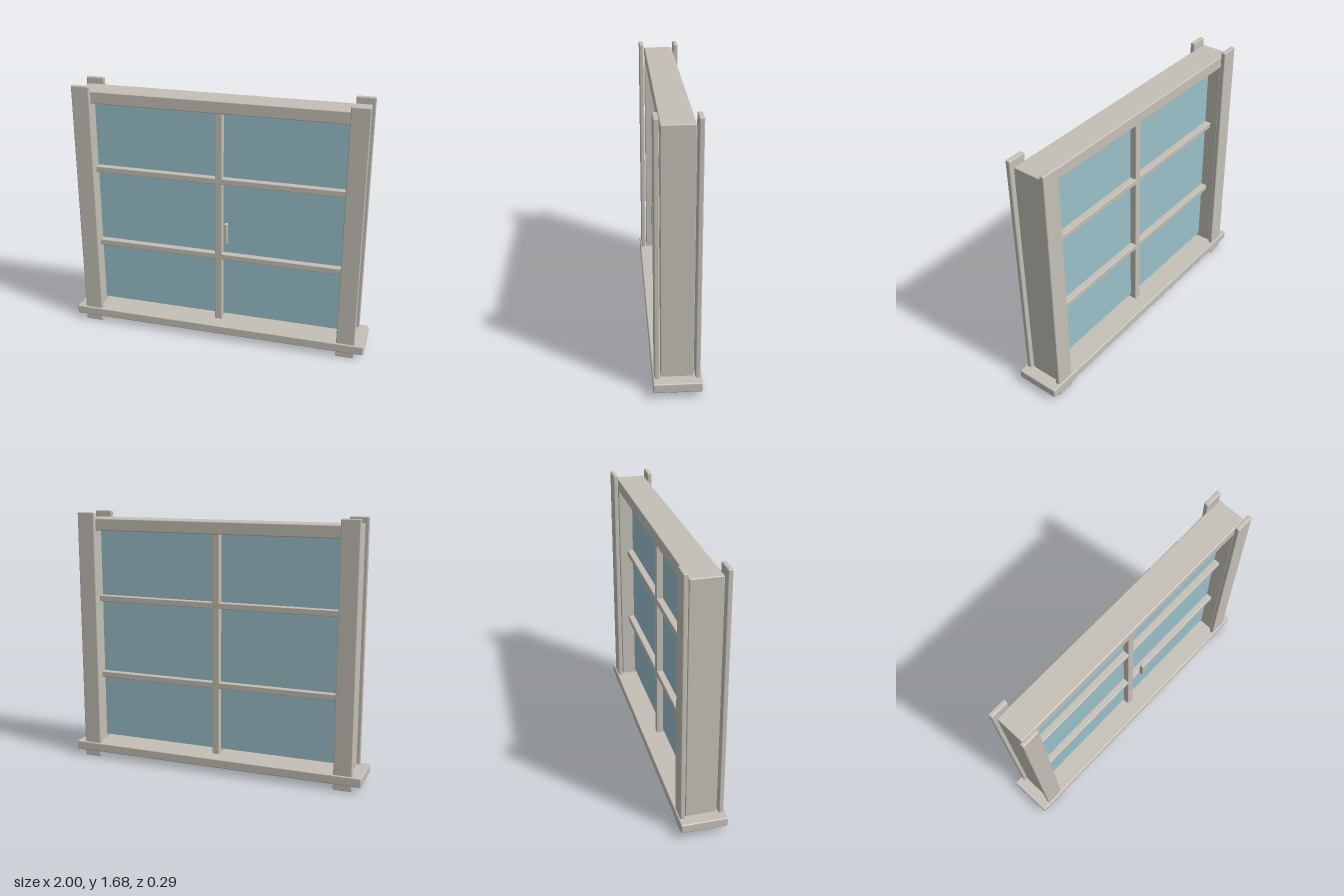
import * as THREE from 'three';
import { RoundedBoxGeometry } from 'three/addons/geometries/RoundedBoxGeometry.js';

export function createModel() {
  const group = new THREE.Group();
  group.name = 'window';
  const frame = new THREE.MeshStandardMaterial({ color: 0xc4c0b7 });
  frame.name = 'warm grey paint';
  const pane = new THREE.MeshStandardMaterial({ color: 0x9ac0ca });
  pane.name = 'blue glass';

  // Softly bevelled box between two corners
  function box(name, x0, x1, y0, y1, z0, z1, radius = 0.007, material = frame) {
    const size = [x1 - x0, y1 - y0, z1 - z0];
    const geometry = radius > 0
      ? new RoundedBoxGeometry(...size, 2, radius)
      : new THREE.BoxGeometry(...size);
    const mesh = new THREE.Mesh(geometry, material);
    mesh.position.set((x0 + x1) / 2, (y0 + y1) / 2, (z0 + z1) / 2);
    mesh.name = name;
    group.add(mesh);
  }

  // Sill and head rail
  box('sill', -1, 1, 0.04, 0.1, -0.145, 0.145, 0.008);
  box('headRail', -0.92, 0.92, 1.56, 1.64, -0.097, 0.097);

  // Jambs, with casing boards in front and behind that run down past the sill
  for (const [side, s] of [['left', 1], ['right', -1]]) {
    const span = (a, b) => (s > 0 ? [a, b] : [-b, -a]);
    box(side + 'Jamb', ...span(0.84, 0.92), 0.09, 1.57, -0.097, 0.097, 0.004);
    box(side + 'FrontCasing', ...span(0.82, 0.94), 0, 1.68, 0.105, 0.135);
    box(side + 'BackCasing', ...span(0.82, 0.94), 0, 1.68, -0.135, -0.105);
  }

  // Glass, stopping just above the sill
  box('glass', -0.845, 0.845, 0.127, 1.565, -0.004, 0.004, 0, pane);

  // Glazing bars
  box('mullion', -0.024, 0.024, 0.1, 1.562, -0.046, 0.046, 0.005);
  for (const y of [0.57, 1.1]) {
    box('crossBar', -0.842, 0.842, y - 0.02, y + 0.02, -0.046, 0.046, 0.005);
  }

  // Handle
  box('handle', 0.052, 0.076, 0.69, 0.835, 0.074, 0.104, 0.006);

  return group;
}
